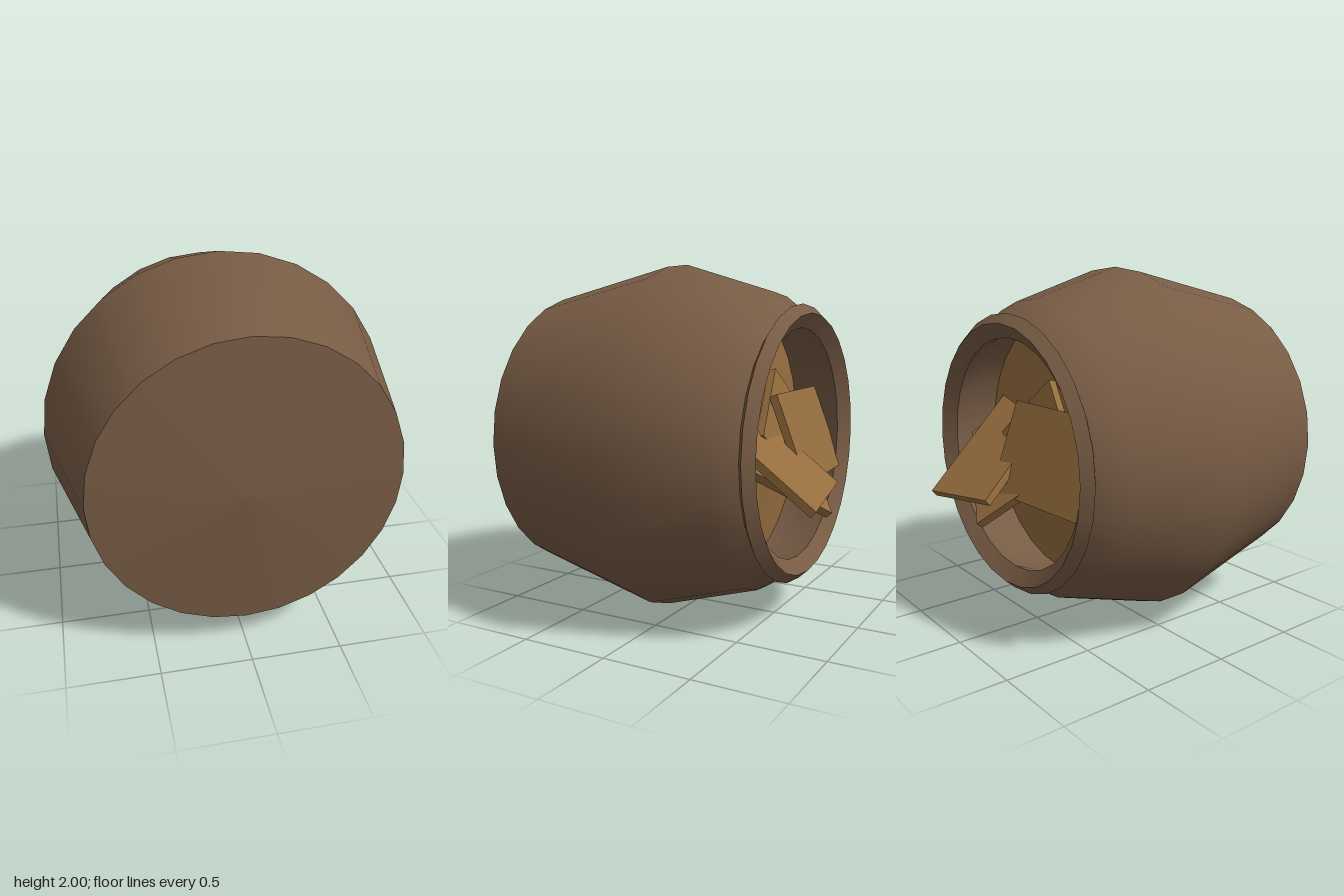
import * as THREE from 'three';

const SIDES = 28;

export function createModel() {
  const model = new THREE.Group();
  model.name = 'tippedPot';

  const clay = new THREE.MeshStandardMaterial({ color: 0x785c45 });
  clay.name = 'brown clay';
  const wood = new THREE.MeshStandardMaterial({ color: 0x956d3e });
  wood.name = 'tan wood';

  // A ring of the pot, turned around the z axis; profile is [radius, z] pairs
  function turned(name, material, profile) {
    const points = profile.map(([r, z]) => new THREE.Vector2(r, z));
    const geometry = new THREE.LatheGeometry(points, SIDES);
    geometry.rotateX(Math.PI / 2);
    const mesh = new THREE.Mesh(geometry, material);
    mesh.name = name;
    mesh.position.y = 1;
    model.add(mesh);
  }

  // A flat board: its outer face starts at a corner and spans two directions
  function board(name, corner, along, across, length, width) {
    const thickness = 0.045;
    const u = new THREE.Vector3(...along).normalize();
    const n = u.clone().cross(new THREE.Vector3(...across)).normalize();
    const v = n.clone().cross(u);
    const mesh = new THREE.Mesh(new THREE.BoxGeometry(length, width, thickness), wood);
    mesh.name = name;
    mesh.quaternion.setFromRotationMatrix(new THREE.Matrix4().makeBasis(u, v, n));
    mesh.position.set(...corner)
      .addScaledVector(u, length / 2)
      .addScaledVector(v, width / 2)
      .addScaledVector(n, -thickness / 2);
    model.add(mesh);
  }

  // Pot: body, slightly pointed base, and a faceted rim around the mouth
  turned('body', clay, [[0.73, -0.615], [0.835, -0.475], [1, 0.075], [0.825, 0.845]]);
  turned('base', clay, [[0.825, 0.845], [0, 0.91]]);
  turned('rimBack', clay, [[0.77, -0.645], [0.73, -0.615]]);
  turned('rimOuter', clay, [[0.72, -0.7], [0.77, -0.645]]);
  turned('rimInner', clay, [[0.64, -0.64], [0.72, -0.7]]);
  turned('innerWall', clay, [[0.73, -0.32], [0.72, -0.45], [0.64, -0.64]]);

  // Shallow mound filling the mouth
  turned('filling', wood, [[0, -0.44], [0.725, -0.33]]);

  // Loose boards poking out of the filling
  board('upperBoard', [0.455, 0.74, -0.91], [-0.99, 0.106, 0.125], [0.165, 0.641, 0.749], 0.52, 0.8);
  board('lowerBoard', [0.04, 0.64, -0.85], [-0.62, 0.588, 0.517], [0.78, 0.465, 0.41], 0.56, 0.78);
  board('sideBoard', [0.1, 1.28, -0.54], [-0.02, -0.935, -0.35], [-1, -0.05, 0.07], 0.52, 0.76);
  board('buriedBoard', [-0.09, 1.41, -0.45], [0.72, -0.67, -0.18], [-0.65, -0.72, -0.2], 0.5, 0.4);

  return model;
}
